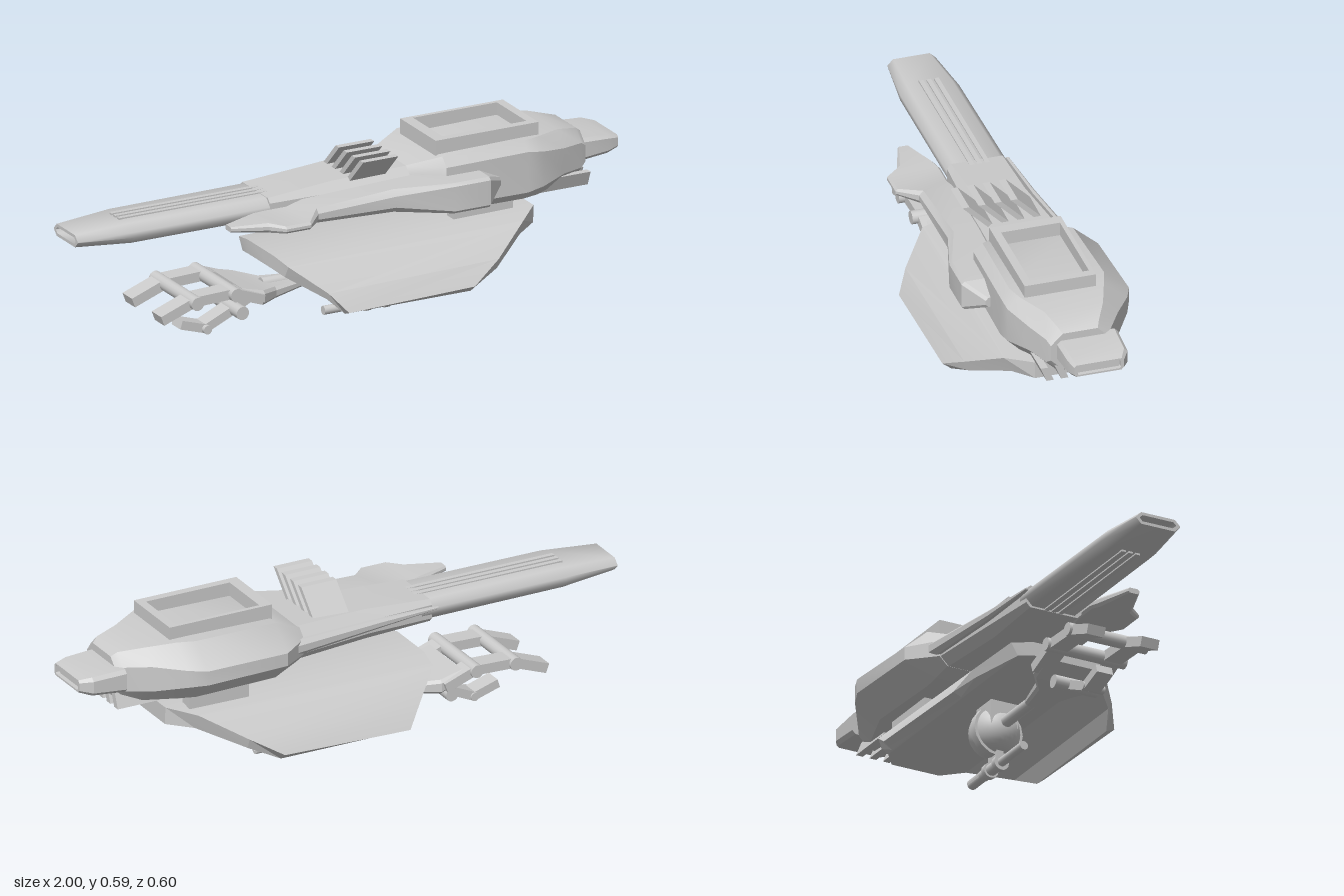
import * as THREE from 'three';
import { toCreasedNormals } from 'three/addons/utils/BufferGeometryUtils.js';

const material = new THREE.MeshStandardMaterial({ color: 0xcccccc });

// Closed solid through rings of [x, y, z] points, capped at both ends
function loft(rings, crease = 0.3) {
  const pos = [];
  const tri = (a, b, c) => pos.push(...a, ...b, ...c);
  const n = rings[0].length;
  for (let i = 0; i < rings.length - 1; i++) {
    for (let j = 0; j < n; j++) {
      const k = (j + 1) % n;
      tri(rings[i][j], rings[i][k], rings[i + 1][k]);
      tri(rings[i][j], rings[i + 1][k], rings[i + 1][j]);
    }
  }
  const first = rings[0], last = rings[rings.length - 1];
  for (let j = 1; j < n - 1; j++) {
    tri(first[0], first[j + 1], first[j]);
    tri(last[0], last[j], last[j + 1]);
  }
  const g = new THREE.BufferGeometry();
  g.setAttribute('position', new THREE.Float32BufferAttribute(pos, 3));
  return toCreasedNormals(g, crease);
}

// Chamfered rectangle across x; the -z side may have its own chamfer
function ring([x, y0, y1, z0, z1, c, d = c, e = d]) {
  return [
    [x, y1, z0 + d], [x, y1, z1 - c], [x, y1 - c, z1], [x, y0 + c, z1],
    [x, y0, z1 - c], [x, y0, z0 + d], [x, y0 + e, z0], [x, y1 - e, z0],
  ];
}

// Slanted slat running along x, from bottom (yb, zb) to top (yt, zt)
function slat(x0, x1, yb, zb, yt, zt, w) {
  return loft([x0, x1].map(x => [[x, yt, zt], [x, yt, zt + w], [x, yb, zb + w], [x, yb, zb]]));
}

export function createModel() {
  const root = new THREE.Group();

  function add(name, geometry, x = 0, y = 0, z = 0, parent = root) {
    const m = new THREE.Mesh(geometry, material);
    m.name = name;
    m.position.set(x, y, z);
    parent.add(m);
    return m;
  }
  const box = (name, w, h, d, x, y, z, parent) =>
    add(name, new THREE.BoxGeometry(w, h, d), x, y, z, parent);
  function rod(name, r, len, x, y, z, axis, parent) {
    const g = new THREE.CylinderGeometry(r, r, len, 16);
    if (axis === 'x') g.rotateZ(-Math.PI / 2);
    else g.rotateX(Math.PI / 2);
    return add(name, g, x, y, z, parent);
  }

  // Main hull, pointed on the far side
  add('hull', loft([
    [0.2, 0.385, 0.5, -0.17, 0.09, 0.03, 0.03],
    [0.3, 0.35, 0.545, -0.245, 0.18, 0.03, 0.085, 0.075],
    [0.6, 0.35, 0.55, -0.255, 0.185, 0.03, 0.085, 0.075],
    [0.66, 0.35, 0.55, -0.23, 0.18, 0.04, 0.08, 0.07],
    [0.76, 0.352, 0.54, -0.165, 0.135, 0.05, 0.05],
    [0.84, 0.36, 0.525, -0.115, 0.105, 0.04, 0.04],
    [0.86, 0.375, 0.51, -0.105, 0.095, 0.04, 0.04],
  ].map(ring), 0.6));

  // Tail block with a recessed end face
  add('tailBlock', loft([
    [0.84, 0.405, 0.485, -0.14, 0.075, 0.012],
    [0.96, 0.415, 0.48, -0.135, 0.07, 0.012],
    [1, 0.427, 0.47, -0.11, 0.06, 0.008],
    [1, 0.433, 0.464, -0.1, 0.05, 0.005],
    [0.985, 0.433, 0.464, -0.1, 0.05, 0.005],
  ].map(ring)));

  // Open hatch frame on the hull roof
  const frame = new THREE.Shape([
    [0.29, -0.124], [0.67, -0.124], [0.67, 0.12], [0.29, 0.12],
  ].map(p => new THREE.Vector2(...p)));
  frame.holes.push(new THREE.Path([
    [0.33, -0.096], [0.33, 0.105], [0.64, 0.105], [0.64, -0.096],
  ].map(p => new THREE.Vector2(...p))));
  const frameGeo = new THREE.ExtrudeGeometry(frame, { depth: 0.06, bevelEnabled: false });
  frameGeo.rotateX(-Math.PI / 2);
  add('hatchFrame', frameGeo, 0, 0.533, 0);

  // Neck between hull and boom
  add('neck', loft([
    [-0.3, 0.4, 0.478, -0.125, 0.08, 0.015],
    [-0.06, 0.39, 0.495, -0.14, 0.09, 0.03],
    [0.24, 0.385, 0.505, -0.17, 0.1, 0.03],
  ].map(ring)));

  // Long boom, hollow at its tip
  add('boom', loft([
    [-0.94, 0.43, 0.452, -0.09, 0.045, 0.01],
    [-1, 0.43, 0.452, -0.09, 0.045, 0.01],
    [-1, 0.42, 0.462, -0.105, 0.06, 0.02],
    [-0.8, 0.406, 0.475, -0.122, 0.08, 0.025],
    [0, 0.406, 0.477, -0.13, 0.08, 0.025],
  ].map(ring), 0.9));
  for (const z of [-0.05, -0.024, 0.002]) {
    box('boomTopRail', 0.76, 0.01, 0.016, -0.44, 0.475, z);
    box('boomBottomRail', 0.76, 0.01, 0.016, -0.44, 0.406, z);
  }

  // Slanted cooling fins on the neck
  for (let i = 0; i < 4; i++) {
    const z = 0.14 - i * 0.055;
    add('coolingFin', slat(0, 0.13, 0.475, z - 0.105, 0.58, z, 0.024));
  }

  // Slats below the rear of the hull
  for (let i = 0; i < 5; i++) {
    const z = 0.1 - i * 0.05;
    add('bellySlat', slat(0.68, 0.86, 0.34, z - 0.015, 0.39, z + 0.005, 0.025));
  }

  // Near side pod, a flat blade growing into a block
  add('sidePod', loft([
    [-0.5, 0.43, 0.448, 0.145, 0.185, 0.005],
    [-0.38, 0.42, 0.453, 0.1, 0.225, 0.01],
    [-0.34, 0.425, 0.45, 0.09, 0.272, 0.008],
    [-0.25, 0.425, 0.45, 0.09, 0.272, 0.008],
    [-0.19, 0.415, 0.465, 0.08, 0.21, 0.015],
    [0.1, 0.4, 0.478, 0.08, 0.205, 0.02],
    [0.29, 0.382, 0.487, 0.1, 0.26, 0.01],
    [0.42, 0.382, 0.487, 0.1, 0.26, 0.01],
    [0.49, 0.42, 0.455, 0.1, 0.2, 0.01],
  ].map(ring)));

  // Thin tapered blade on the far side
  add('sideBlade', loft([
    [-0.32, 0.45, 0.456, -0.138, -0.128, 0.001],
    [-0.1, 0.435, 0.465, -0.155, -0.1, 0.008],
    [0.24, 0.42, 0.475, -0.195, -0.1, 0.015],
  ].map(ring)));

  // Arched shield: half profile [outer z, outer y, inner z, inner y, x start, x end]
  const half = [
    [0.09, 0.295, 0.088, 0.235, -0.29, 0.67],
    [0.17, 0.28, 0.145, 0.226, -0.28, 0.59],
    [0.26, 0.2, 0.247, 0.165, -0.18, 0.45],
    [0.3, 0.136, 0.27, 0.112, -0.125, 0.34],
  ];
  const stations = [
    ...half.slice().reverse().map(([zo, yo, zi, ...rest]) => [-zo, yo, -zi, ...rest]),
    ...half,
  ];
  add('shield', loft(stations.map(([zo, yo, zi, yi, x0, x1]) => [
    [x0, yi, zi], [x1, yi, zi], [x1, yo, zo], [x0, yo - 0.012, zo],
  ])));
  for (const z of [0.057, -0.027, -0.103]) box('shieldPost', 0.22, 0.09, 0.046, 0.49, 0.32, z);

  // Ball turret with slim gun below the shield
  const turret = new THREE.Group();
  turret.name = 'turret';
  root.add(turret);
  add('ball', new THREE.SphereGeometry(0.085, 28, 20), 0.14, 0.148, 0, turret);
  rod('ballCollar', 0.09, 0.03, 0.125, 0.148, 0, 'x', turret);
  box('ballMount', 0.1, 0.1, 0.1, 0.12, 0.2, 0, turret);
  box('gunBracket', 0.06, 0.05, 0.025, 0.13, 0.055, 0, turret);
  rod('gunRear', 0.015, 0.18, 0.03, 0.027, 0, 'x', turret);
  rod('gunBody', 0.02, 0.12, 0.15, 0.027, 0, 'x', turret);
  for (const x of [0.1, 0.17]) rod('gunCollar', 0.027, 0.02, x, 0.027, 0, 'x', turret);
  const barrel = new THREE.LatheGeometry([
    [0, 0.05], [0.008, 0.05], [0.008, 0.11], [0.018, 0.11], [0.018, 0],
  ].reverse().map(p => new THREE.Vector2(...p)), 16);
  const barrelGeo = toCreasedNormals(barrel.rotateZ(-Math.PI / 2), 0.6);
  const barrelMesh = add('gunBarrel', barrelGeo, 0.18, 0.027, 0, turret);
  barrelMesh.material = material.clone();
  barrelMesh.material.side = THREE.DoubleSide;

  // Grasping hand on a rod
  const hand = new THREE.Group();
  hand.name = 'hand';
  root.add(hand);
  rod('armRod', 0.02, 0.42, -0.08, 0.16, 0, 'x', hand);
  add('palm', loft([
    [-0.42, 0.165, 0.2, -0.12, 0.12, 0.01],
    [-0.34, 0.13, 0.18, -0.12, 0.12, 0.01],
    [-0.27, 0.125, 0.165, -0.07, 0.07, 0.01],
    [-0.12, 0.14, 0.165, -0.03, 0.03, 0.008],
  ].map(ring)));

  // Finger links between joints in the x-y plane, with pins at the inner joints
  function finger(points, z, width, thick) {
    for (let i = 0; i < points.length - 1; i++) {
      const [ax, ay] = points[i], [bx, by] = points[i + 1];
      const link = box('fingerLink', Math.hypot(bx - ax, by - ay), thick, width,
        (ax + bx) / 2, (ay + by) / 2, z, hand);
      link.rotation.z = Math.atan2(by - ay, bx - ax);
    }
  }
  const upper = [[-0.35, 0.155], [-0.46, 0.195], [-0.605, 0.19], [-0.725, 0.145]];
  const lower = [[-0.31, 0.15], [-0.4, 0.1], [-0.51, 0.05], [-0.6, 0.078]];
  for (const z of [-0.1, 0.1]) finger(upper, z, 0.065, 0.034);
  finger(lower, 0, 0.06, 0.03);
  for (const [x, y] of upper.slice(1, 3)) rod('upperPin', 0.023, 0.295, x, y, 0.005, 'z', hand);
  rod('lowerPin', 0.023, 0.16, -0.4, 0.1, 0, 'z', hand);
  rod('lowerTipPin', 0.015, 0.08, -0.51, 0.05, 0.005, 'z', hand);

  return root;
}
